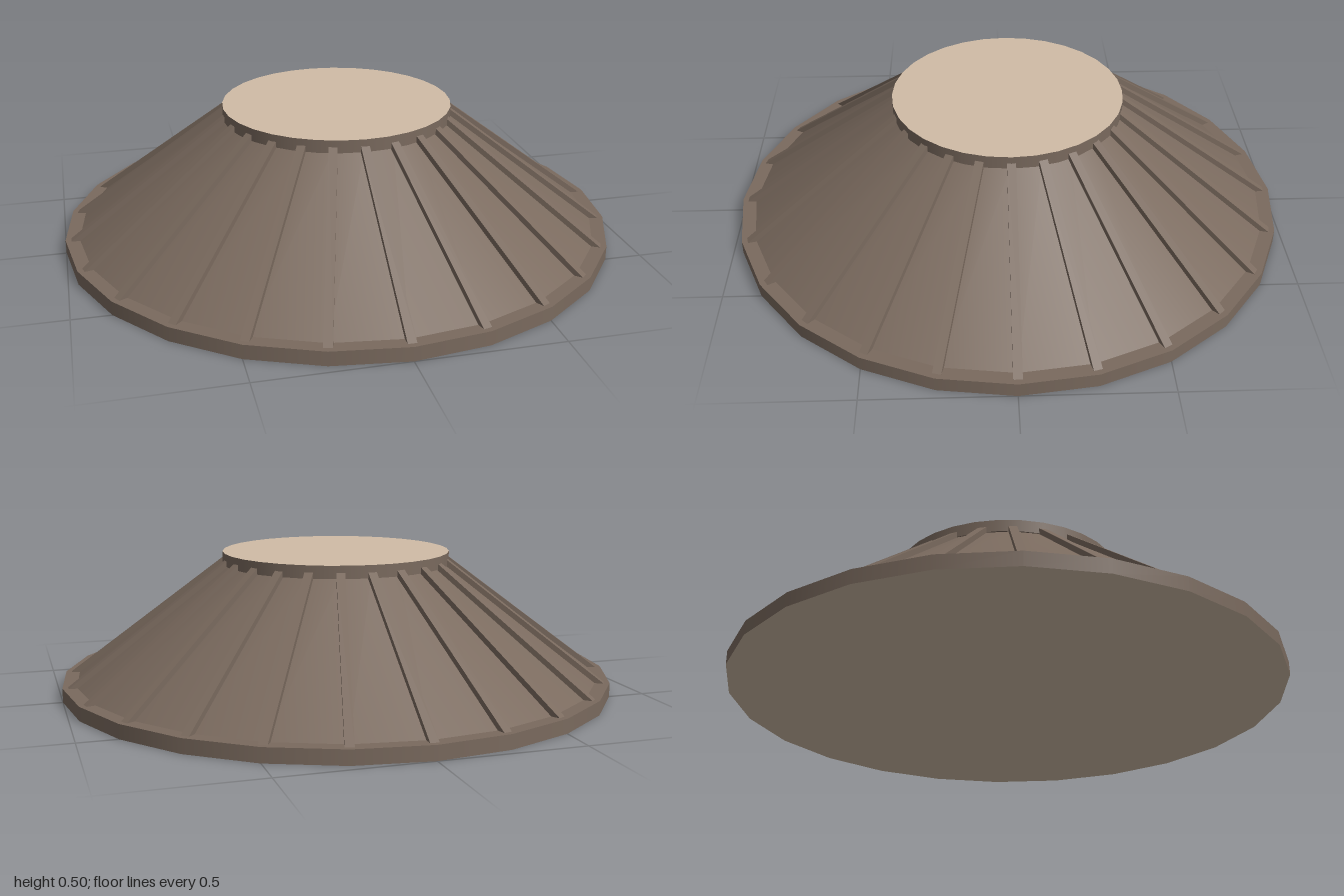
import * as THREE from 'three';

const SIDES = 24;

export function createModel() {
  const model = new THREE.Group();
  model.name = 'ribbedConeRoof';

  const brown = new THREE.MeshStandardMaterial({ color: 0x7a6a5e });
  brown.name = 'weathered brown';
  const tan = new THREE.MeshStandardMaterial({ color: 0xd0bca6 });
  tan.name = 'pale tan';

  const add = (name, geometry, material, y = 0) => {
    const mesh = new THREE.Mesh(geometry, material);
    mesh.name = name;
    mesh.position.y = y;
    model.add(mesh);
    return mesh;
  };

  // Flat rim with a pale underside
  add('baseRim', new THREE.CylinderGeometry(1, 1, 0.05, SIDES), [brown, brown, tan], 0.025);

  // Sloping skirt
  const low = new THREE.Vector2(0.95, 0.05);
  const high = new THREE.Vector2(0.4, 0.463);
  add('slope', new THREE.CylinderGeometry(high.x, low.x, high.y - low.y, SIDES, 1, true),
    brown, (low.y + high.y) / 2);

  // Collar with a pale top face
  add('collar', new THREE.CylinderGeometry(0.414, 0.414, 0.045, 32),
    [brown, tan, brown], 0.4775);

  // Ribs along the slope, sunk into the rim at the foot
  const along = high.clone().sub(low).normalize();
  const foot = low.clone().addScaledVector(along, -0.03);
  const head = high.clone().addScaledVector(along, 0.006);
  const ribGeometry = new THREE.BoxGeometry(foot.distanceTo(head), 0.035, 0.03);
  ribGeometry.rotateZ(Math.atan2(along.y, along.x) - Math.PI);
  ribGeometry.translate((foot.x + head.x) / 2, (foot.y + head.y) / 2, 0);
  for (let i = 0; i < SIDES; i++) {
    add('rib' + (i + 1), ribGeometry, brown).rotation.y = (i / SIDES) * Math.PI * 2;
  }

  return model;
}
